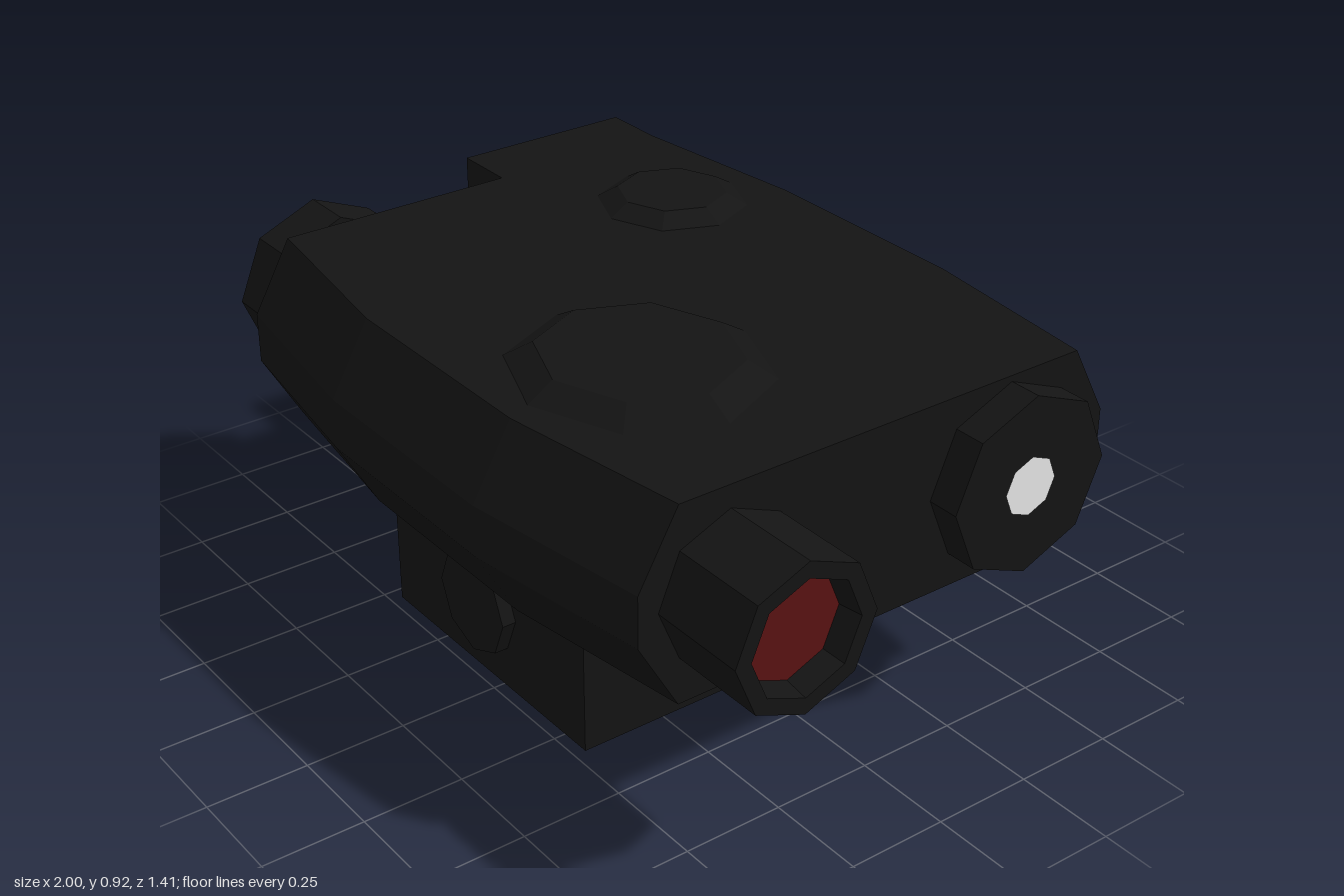
import * as THREE from 'three';

const dark = new THREE.MeshStandardMaterial({ name: 'blackHousing', color: 0x141414, flatShading: true });
const red = new THREE.MeshStandardMaterial({ name: 'redGlass', color: 0x5a1212, flatShading: true });
const pale = new THREE.MeshStandardMaterial({ name: 'whiteGlass', color: 0xf4f4f4, flatShading: true });

// Joins convex [z, y] outlines placed at rising x; closes both ends
function loft(sections) {
  const pos = [];
  const tri = (...pts) => pts.forEach(p => pos.push(...p));
  const rings = sections.map(([x, outline]) => outline.map(([z, y]) => [x, y, z]));
  const n = rings[0].length;
  for (let s = 0; s < rings.length - 1; s++) {
    const a = rings[s], b = rings[s + 1];
    for (let i = 0; i < n; i++) {
      const j = (i + 1) % n;
      tri(a[i], a[j], b[j]);
      tri(a[i], b[j], b[i]);
    }
  }
  const first = rings[0], last = rings[rings.length - 1];
  for (let i = 1; i < n - 1; i++) {
    tri(first[0], first[i + 1], first[i]);
    tri(last[0], last[i], last[i + 1]);
  }
  const g = new THREE.BufferGeometry();
  g.setAttribute('position', new THREE.Float32BufferAttribute(pos, 3));
  g.computeVertexNormals();
  return g;
}

export function createModel() {
  const model = new THREE.Group();
  model.name = 'laserSight';
  const add = (name, geometry, material = dark) => {
    const mesh = new THREE.Mesh(geometry, material);
    mesh.name = name;
    model.add(mesh);
    return mesh;
  };

  // Eight-sided drum along x
  const drum = (name, x0, x1, r, z) =>
    add(name, new THREE.CylinderGeometry(r, r, x1 - x0, 8).rotateZ(-Math.PI / 2))
      .position.set((x0 + x1) / 2, 0.64, z);

  // Lens disc facing +x
  const lens = (name, x, r, z, material) =>
    add(name, new THREE.CircleGeometry(r, 8).rotateY(Math.PI / 2), material).position.set(x, 0.64, z);

  // Main housing: bevelled long sides, slightly narrower at both ends
  const outline = (f, b) => [
    [f - 0.1, 0.875], [f, 0.7], [f, 0.575], [f - 0.1, 0.4],
    [b + 0.095, 0.4], [b, 0.575], [b, 0.7], [b + 0.095, 0.875],
  ];
  add('housing', loft([
    [-0.8, outline(0.63, -0.655)],
    [-0.31, outline(0.7, -0.706)],
    [0.27, outline(0.7, -0.706)],
    [0.755, outline(0.63, -0.655)],
  ]));

  // Battery block continuing the rear half of the housing
  const block = [[-0.085, 0.875], [-0.085, 0.4], [-0.56, 0.4], [-0.655, 0.575], [-0.655, 0.7], [-0.56, 0.875]];
  add('batteryBlock', loft([[-0.965, block], [-0.8, block]]));

  // Battery cap with its neck
  drum('capNeck', -0.86, -0.79, 0.16, 0.35);
  drum('batteryCap', -1, -0.86, 0.22, 0.35);

  // Hollow emitter tube with a recessed red lens
  const tube = [[0.18, 0.75], [0.18, 1], [0.14, 1], [0.13, 0.94]].map(p => new THREE.Vector2(...p));
  add('emitterTube', new THREE.LatheGeometry(tube, 8).rotateZ(-Math.PI / 2)).position.set(0, 0.64, 0.4);
  lens('redLens', 0.941, 0.131, 0.4, red);

  // Second emitter: wide collar with a small white lens
  drum('lightCollar', 0.75, 0.835, 0.22, -0.365);
  lens('whiteLens', 0.838, 0.073, -0.362, pale);

  // Shallow tapered buttons on top
  const button = (name, x, z, top, base, height, depth) => {
    const mesh = add(name, new THREE.CylinderGeometry(top, base, height, 8));
    mesh.position.set(x, 0.875 + height / 2, z);
    mesh.scale.z = depth;
  };
  button('largeButton', 0.245, 0.25, 0.245, 0.315, 0.04, 0.92);
  button('smallButton', -0.428, -0.345, 0.138, 0.19, 0.03, 0.98);

  // Rail clamp with sloped shoulders
  const clamp = [[0.28, 0.4], [0.47, 0.305], [0.47, 0], [-0.38, 0], [-0.38, 0.305], [-0.19, 0.4]];
  add('railClamp', loft([[-0.465, clamp], [0.33, clamp]]));

  // Clamp bolt heads, front and back
  for (const [name, z] of [['frontBolt', 0.4825], ['backBolt', -0.3925]]) {
    add(name, new THREE.CylinderGeometry(0.132, 0.132, 0.045, 8).rotateX(Math.PI / 2))
      .position.set(-0.075, 0.203, z);
  }

  return model;
}
